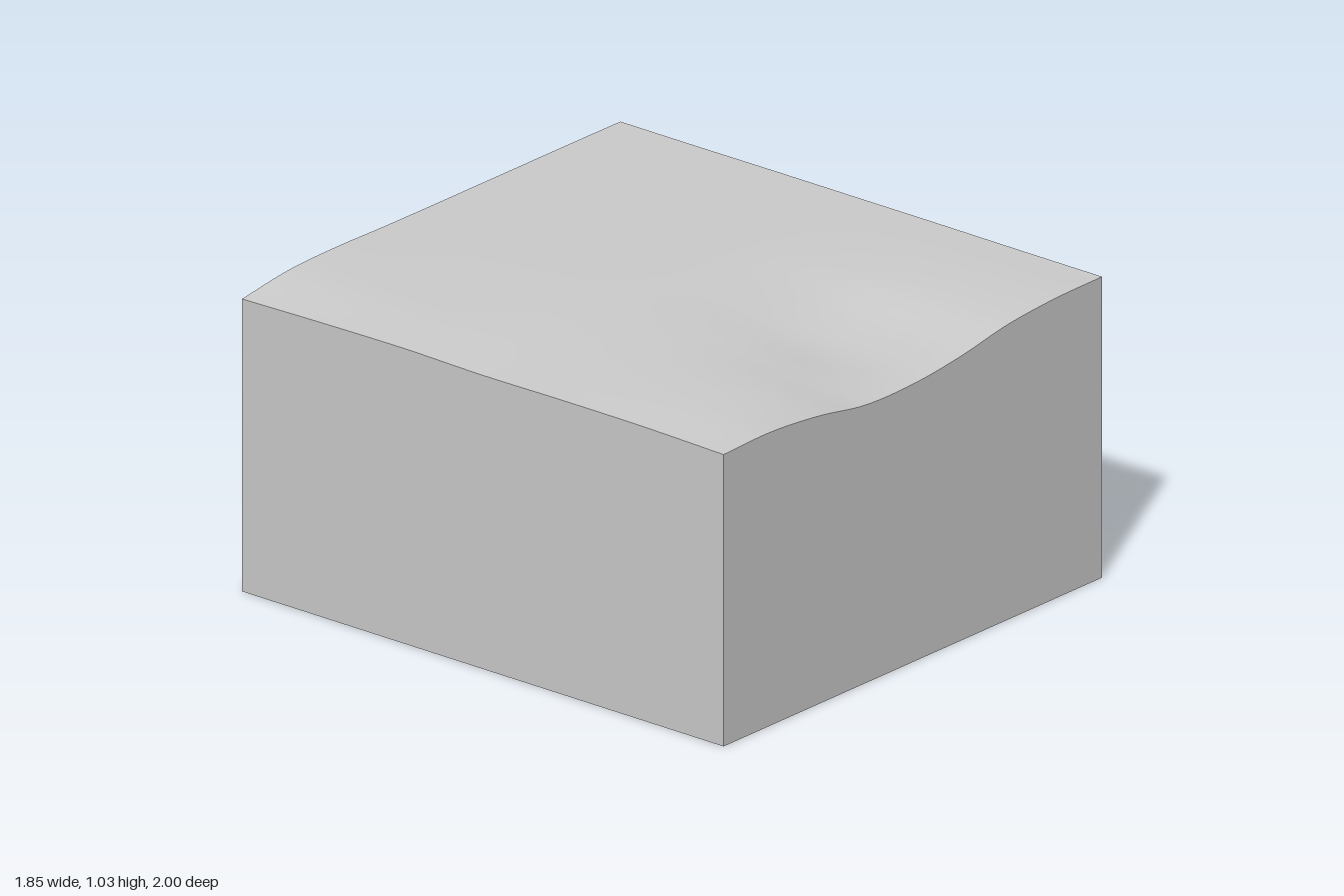
import * as THREE from 'three';

const WIDTH = 1.85, DEPTH = 2;

// Ground heights: rows run back to front, columns run from -x to +x.
const HEIGHTS = [
  [1.000, 1.028, 1.034, 1.031, 1.030, 1.030, 1.030, 1.030, 1.029],
  [1.006, 1.026, 1.031, 1.034, 1.033, 1.031, 1.030, 1.030, 1.029],
  [1.009, 1.024, 1.030, 1.034, 1.034, 1.031, 1.030, 1.030, 1.030],
  [1.004, 1.017, 1.027, 1.031, 1.031, 1.030, 1.030, 1.030, 1.030],
  [1.006, 1.019, 1.025, 1.022, 1.011, 1.010, 1.022, 1.029, 1.030],
  [1.005, 1.017, 1.015, 0.992, 0.967, 0.978, 1.012, 1.027, 1.029],
  [0.998, 1.003, 0.985, 0.951, 0.950, 0.972, 1.009, 1.026, 1.029],
];

// Smooth interpolation through evenly spaced values, t from 0 to 1.
function smooth(values, t) {
  const last = values.length - 1;
  const i = Math.min(Math.floor(t * last), last - 1);
  const f = t * last - i;
  const a = values[i], b = values[i + 1];
  const p = i > 0 ? values[i - 1] : 2 * a - b;
  const q = i + 2 <= last ? values[i + 2] : 2 * b - a;
  return a + 0.5 * f * (b - p + f * (2 * p - 5 * a + 4 * b - q + f * (3 * (a - b) + q - p)));
}

function groundHeight(x, z) {
  const u = THREE.MathUtils.clamp(x / WIDTH + 0.5, 0, 1);
  const v = THREE.MathUtils.clamp(z / DEPTH + 0.5, 0, 1);
  return smooth(HEIGHTS.map((row) => smooth(row, u)), v);
}

export function createModel() {
  const group = new THREE.Group();
  group.name = 'terrain';

  // Solid block whose upper vertices follow the ground; sides and base stay flat.
  const geometry = new THREE.BoxGeometry(WIDTH, 1, DEPTH, 64, 1, 64);
  const pos = geometry.attributes.position;
  for (let i = 0; i < pos.count; i++) {
    const isTop = pos.getY(i) > 0;
    pos.setY(i, isTop ? groundHeight(pos.getX(i), pos.getZ(i)) : 0);
  }
  geometry.computeVertexNormals();

  const block = new THREE.Mesh(geometry, new THREE.MeshStandardMaterial({ color: 0xcccccc }));
  block.name = 'terrainBlock';
  group.add(block);
  return group;
}
